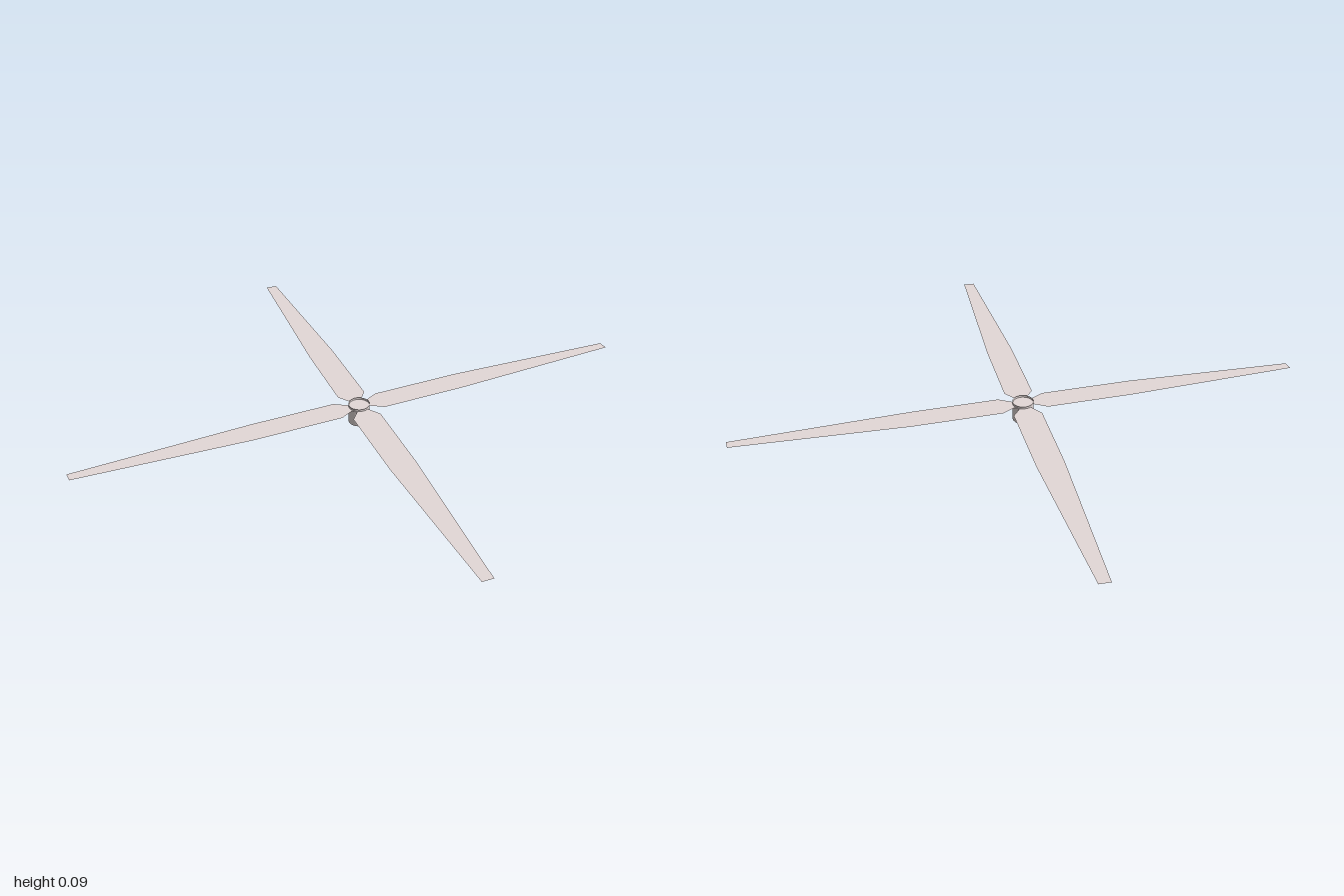
import * as THREE from 'three';

// Flat blade outlines as [x, -z], running from the hub centre around the blade
const bladeOutlines = [
  [[0, 0], [0.045, 0], [0.045, 0.012], [0.113, 0.022], [0.41, 0.27], [1, 0.8],
   [0.97, 0.83], [0.355, 0.37], [0.043, 0.11], [0.018, 0.05], [0.007, 0.049]],
  [[0, 0], [0.007, 0.049], [-0.006, 0.052], [-0.007, 0.108], [-0.25, 0.4], [-0.73, 0.925],
   [-0.77, 0.895], [-0.337, 0.315], [-0.108, 0.033], [-0.045, 0.015], [-0.045, 0]],
];
const HUB_HEIGHT = 0.09;
const BLADE_Y = 0.08;

export function createModel() {
  const model = new THREE.Group();
  model.name = 'rotor';

  const paleGrey = new THREE.MeshStandardMaterial({ color: 0xe4d9d8 });
  paleGrey.name = 'paleGrey';
  paleGrey.side = THREE.DoubleSide;

  // Upright hub: a thin tube open at both ends
  const hub = new THREE.Mesh(new THREE.CylinderGeometry(0.047, 0.047, HUB_HEIGHT, 32, 1, true), paleGrey);
  hub.name = 'hub';
  hub.position.y = HUB_HEIGHT / 2;
  model.add(hub);

  // Two opposite pairs of thin flat blades, meeting inside the hub
  bladeOutlines.forEach((outline, pair) => {
    const shape = new THREE.Shape(outline.map(([x, y]) => new THREE.Vector2(x, y)));
    const geometry = new THREE.ShapeGeometry(shape).rotateX(-Math.PI / 2);
    for (let i = 0; i < 2; i++) {
      const blade = new THREE.Mesh(geometry, paleGrey);
      blade.name = `blade${pair * 2 + i + 1}`;
      blade.position.y = BLADE_Y;
      blade.rotation.y = i * Math.PI;
      model.add(blade);
    }
  });

  return model;
}
